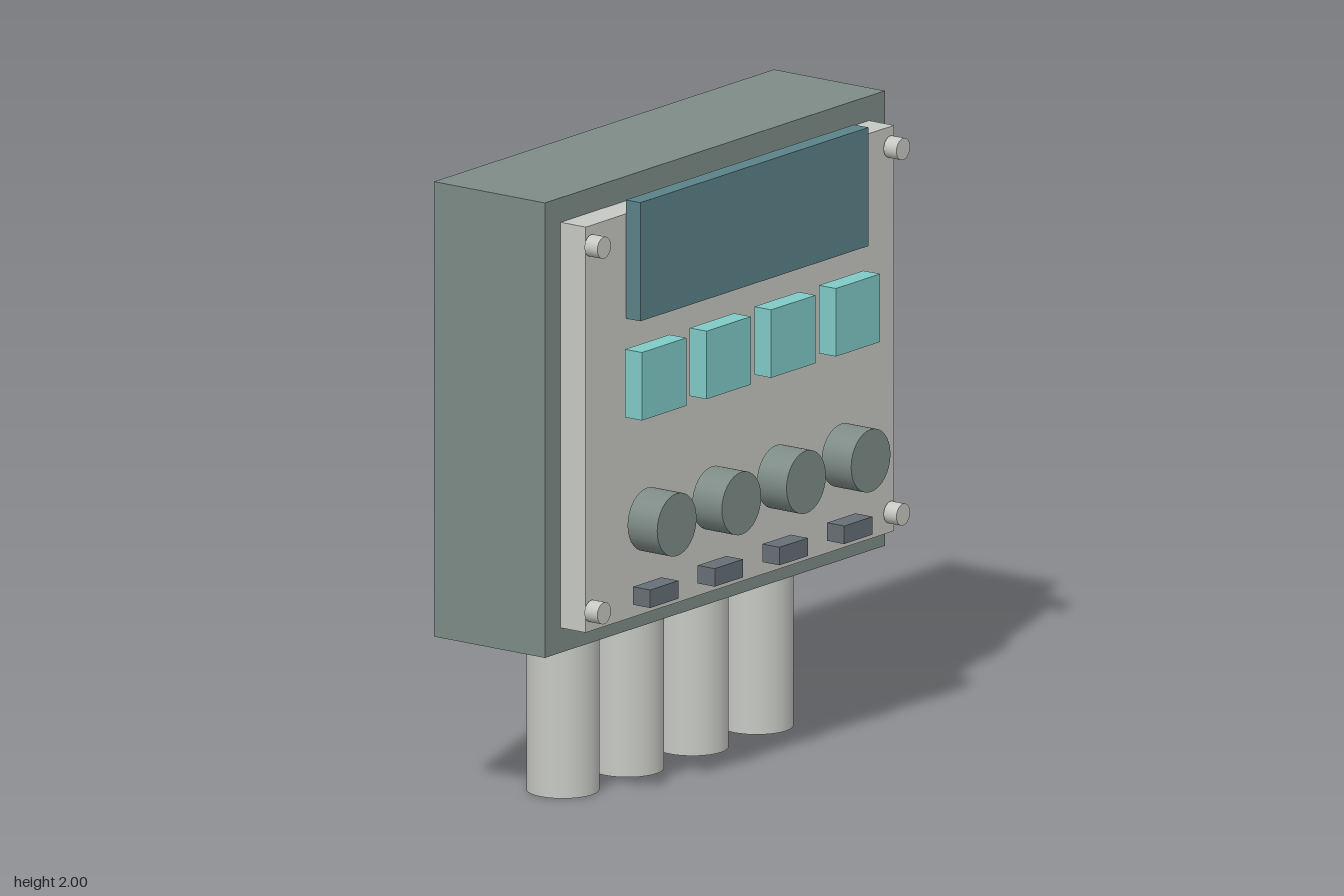
import * as THREE from 'three';

export function createModel() {
  const group = new THREE.Group();
  const material = (name, color) => {
    const m = new THREE.MeshStandardMaterial({ color });
    m.name = name;
    return m;
  };
  const greyGreen = material('grey green', 0x7d8b86);
  const lightGrey = material('light grey', 0xc6c8c3);
  const darkTeal = material('dark teal', 0x5a8287);
  const aqua = material('aqua', 0x7fcac6);
  const slate = material('slate', 0x666f77);

  const add = (name, geometry, mat, x, y, z) => {
    const mesh = new THREE.Mesh(geometry, mat);
    mesh.name = name;
    mesh.position.set(x, y, z);
    group.add(mesh);
  };
  // Box given by its centre x, width and its y and z limits
  const box = (name, mat, x, w, y0, y1, z0, z1) =>
    add(name, new THREE.BoxGeometry(w, y1 - y0, z1 - z0), mat, x, (y0 + y1) / 2, (z0 + z1) / 2);
  // Round part pointing forwards
  const disc = (name, mat, x, y, r, z0, z1) =>
    add(name, new THREE.CylinderGeometry(r, r, z1 - z0, 32).rotateX(Math.PI / 2), mat, x, y, (z0 + z1) / 2);

  // Housing, front plate and display
  box('housing', greyGreen, 0, 1.746, 0.535, 2, -0.333, 0.102);
  box('frontPlate', lightGrey, 0, 1.584, 0.615, 1.921, 0.102, 0.2);
  box('display', darkTeal, 0, 1.172, 1.584, 1.966, 0.2, 0.257);

  // Four columns of button, knob, indicator and cable gland
  for (let i = 0; i < 4; i++) {
    const x = (i - 1.5) * 0.332;
    box('button', aqua, x, 0.228, 1.274, 1.493, 0.217, 0.283);
    disc('knob', greyGreen, x, 0.923, 0.101, 0.217, 0.333);
    box('indicator', slate, x, 0.146, 0.662, 0.72, 0.217, 0.284);
    add('cableGland', new THREE.CylinderGeometry(0.114, 0.114, 0.508, 32), lightGrey, x, 0.254, -0.114);
  }

  // Corner screws
  for (const x of [-0.768, 0.768])
    for (const y of [0.681, 1.858]) disc('screw', lightGrey, x, y, 0.035, 0.204, 0.254);

  return group;
}
